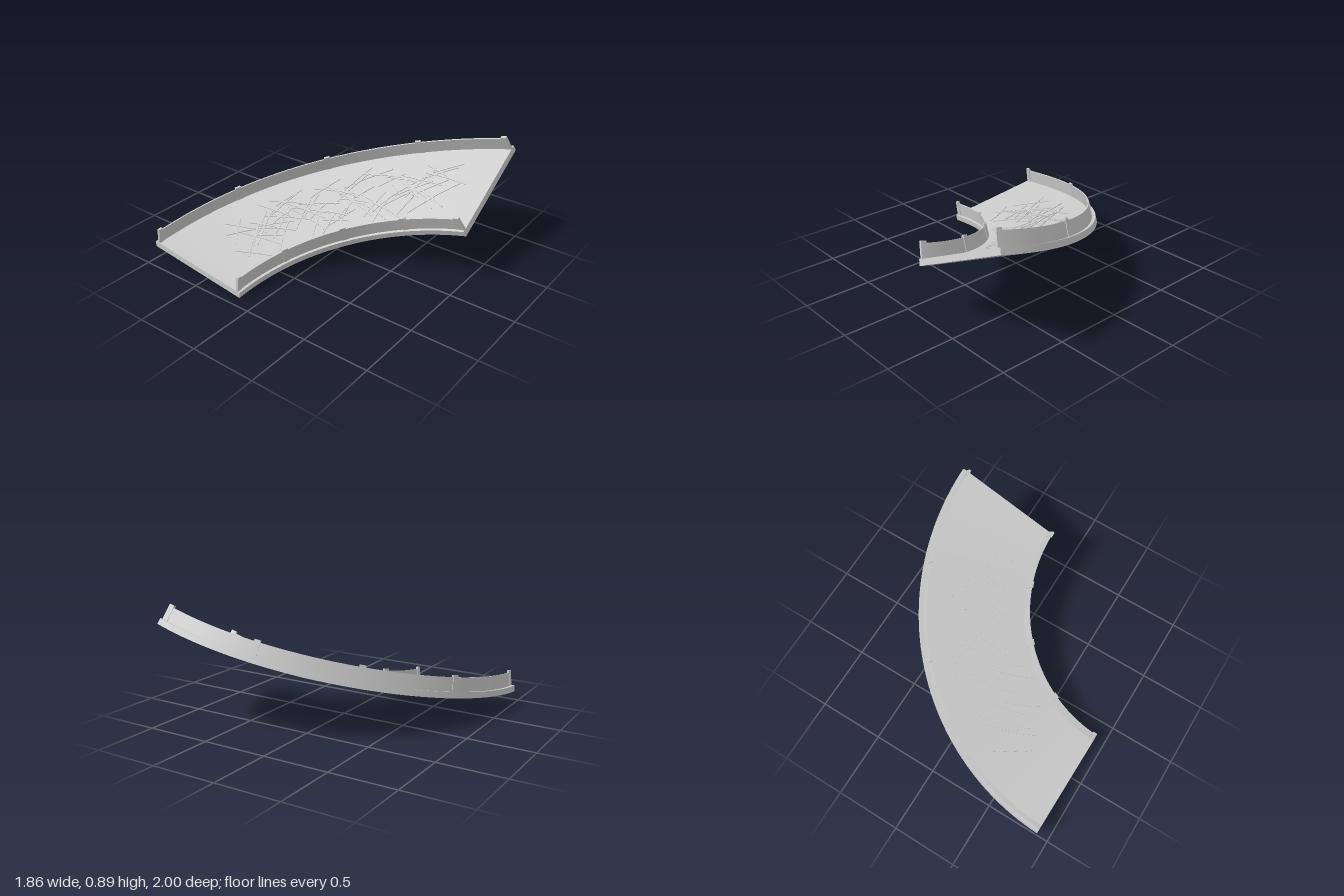
import * as THREE from 'three';

const material = new THREE.MeshStandardMaterial({ color: 0xcccccc, side: THREE.DoubleSide });
const THICK = 0.045;

// Edge lines of the rising, banked curve (t runs 0..1 along the bend)
function onArc(angleDeg, radius, y) {
  const a = THREE.MathUtils.degToRad(angleDeg);
  return new THREE.Vector3(-0.92 + radius * Math.sin(a), y, 0.95 - radius * Math.cos(a));
}
const ease = (t, power) => Math.pow(Math.max(t, 0), power);
const innerEdge = t => onArc(92.6 * t, 1.1 - 0.01 * t, 0.4 * ease(t, 1.25));
const outerEdge = t => onArc(0.3 + 89.8 * t, 1.95 - 0.097 * ease(t, 1.7), 0.1 + 0.66 * ease(t, 1.25));
const middle = t => innerEdge(t).add(outerEdge(t)).multiplyScalar(0.5);

// Local frame of the deck: across points to the outer edge, up is the deck normal
function frame(t) {
  const origin = innerEdge(t);
  const across = outerEdge(t).sub(origin);
  const width = across.length();
  across.normalize();
  const along = middle(t + 0.002).sub(middle(t - 0.002)).normalize();
  const up = along.cross(across).normalize();
  return { origin, across, up, width };
}

// Sweep a four-cornered section; section(t, width) gives [distance across, height] pairs
function sweep(name, t0, t1, steps, section) {
  const rings = [];
  for (let i = 0; i <= steps; i++) {
    const t = t0 + (t1 - t0) * i / steps;
    const f = frame(t);
    rings.push(section(t, f.width).map(([a, h]) =>
      f.origin.clone().addScaledVector(f.across, a).addScaledVector(f.up, h)));
  }
  const pos = [], index = [];
  const add = p => pos.push(p.x, p.y, p.z) / 3 - 1;
  // Each side has its own vertices, so edges stay sharp and the bend is smooth
  for (let k = 0; k < 4; k++) {
    const base = pos.length / 3;
    rings.forEach(r => { add(r[k]); add(r[(k + 1) % 4]); });
    for (let i = 0; i < steps; i++) {
      const p = base + 2 * i;
      index.push(p, p + 1, p + 2, p + 1, p + 3, p + 2);
    }
  }
  // End caps
  const first = rings[0].map(add), last = rings[steps].map(add);
  index.push(first[0], first[2], first[1], first[0], first[3], first[2]);
  index.push(last[0], last[1], last[2], last[0], last[2], last[3]);
  const geometry = new THREE.BufferGeometry();
  geometry.setAttribute('position', new THREE.Float32BufferAttribute(pos, 3));
  geometry.setIndex(index);
  geometry.computeVertexNormals();
  const mesh = new THREE.Mesh(geometry, material);
  mesh.name = name;
  return mesh;
}

const box = (a, halfWidth, low, high) => [
  [a - halfWidth, low], [a + halfWidth, low], [a + halfWidth, high], [a - halfWidth, high]];

// Guard rail with five posts, at a given place across the deck
function barrier(name, place, length) {
  const group = new THREE.Group();
  group.name = name;
  group.add(sweep('railPanel', 0, 1, 64, (t, w) => box(place(w), 0.005, THICK - 0.002, THICK + 0.105)));
  const dt = 0.045 / length;
  for (let i = 0; i < 5; i++) {
    const start = THREE.MathUtils.clamp(i / 4 - dt / 2, 0, 1 - dt);
    group.add(sweep('railPost', start, start + dt, 2,
      (t, w) => box(place(w), 0.009, THICK - 0.002, THICK + 0.12)));
  }
  return group;
}

// Thin crossing streaks lying on the deck, spread evenly along the bend
function surfaceMarks() {
  const group = new THREE.Group();
  group.name = 'surfaceMarks';
  const count = 76, meanLength = 2.35, meanWidth = 0.85;
  let seed = 4711;
  const rand = () => (seed = (seed * 16807) % 2147483647) / 2147483647;
  for (let i = 0; i < count; i++) {
    const tMid = 0.17 + 0.69 * (i + 0.5) / count;
    const sMid = 0.25 + 0.5 * rand();
    const angle = (i % 2 ? 1 : -1) * (0.3 + 0.75 * rand());
    const length = 0.2 + 0.17 * rand();
    const halfT = length * Math.cos(angle) / 2 / meanLength;
    const slope = Math.tan(angle) * meanLength / meanWidth;
    const half = 0.005 / Math.cos(angle);
    group.add(sweep('surfaceMark', tMid - halfT, tMid + halfT, 6,
      (t, w) => box(w * (sMid + slope * (t - tMid)), half, THICK - 0.003, THICK + 0.005)));
  }
  return group;
}

export function createModel() {
  const model = new THREE.Group();
  model.name = 'bankedTrackCurve';
  model.add(sweep('trackDeck', 0, 1, 64, (t, w) => [[0, 0], [w, 0], [w, THICK], [0, THICK]]));
  model.add(barrier('innerBarrier', () => 0.025, 1.75));
  model.add(barrier('outerBarrier', w => w - 0.032, 2.95));
  model.add(surfaceMarks());
  return model;
}
